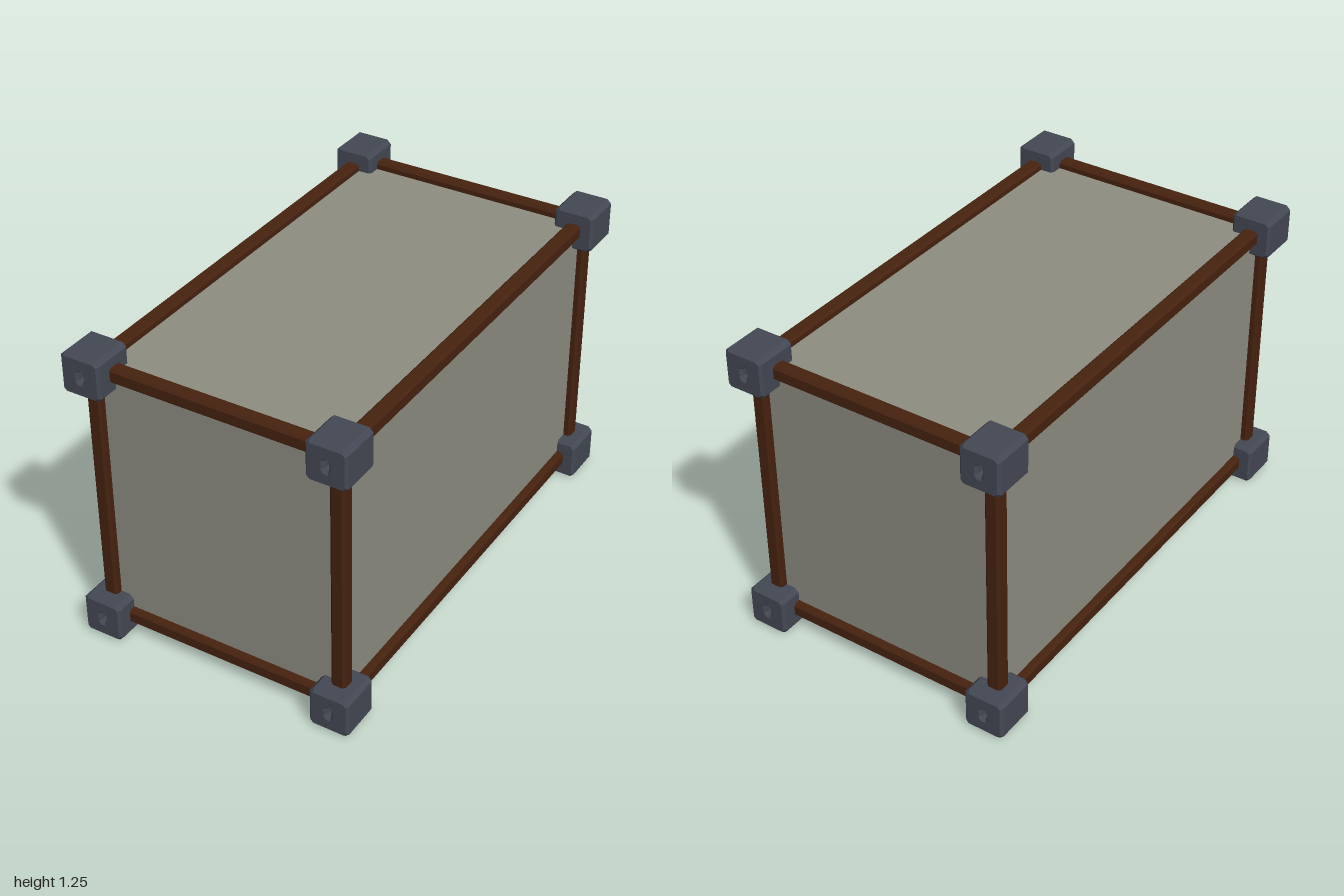
import * as THREE from 'three';

const mat = (name, color) => {
  const m = new THREE.MeshStandardMaterial({ color });
  m.name = name;
  return m;
};

// Square outline with cut corners, half width h and cut c
function cutSquare(h, c) {
  const k = h - c;
  return new THREE.Shape([
    [h, -k], [h, k], [k, h], [-k, h], [-h, k], [-h, -k], [-k, -h], [k, -h],
  ].map(([x, y]) => new THREE.Vector2(x, y)));
}

export function createModel() {
  const model = new THREE.Group();
  model.name = 'framedCrate';
  const panelMat = mat('grey canvas', 0x8e8d82);
  const woodMat = mat('dark wood', 0x46220f);
  const metalMat = mat('blue grey metal', 0x444854);

  const X = 0.502, Y = 0.543, Z = 0.908; // half spans between bar centres
  const MID = 0.626;

  const add = (geometry, material, name, parent = model) => {
    const mesh = new THREE.Mesh(geometry, material);
    mesh.name = name;
    parent.add(mesh);
    return mesh;
  };

  // Closed panel box set on the bar centre lines
  add(new THREE.BoxGeometry(2 * X, 2 * Y, 2 * Z), panelMat, 'panels').position.y = MID;

  // Twelve chamfered edge bars
  const bar = (half) => new THREE.ExtrudeGeometry(cutSquare(0.03, 0.01), { depth: 2 * half, bevelEnabled: false })
    .translate(0, 0, -half);
  const barX = bar(X - 0.06).rotateY(Math.PI / 2);
  const barY = bar(Y - 0.06).rotateX(Math.PI / 2);
  const barZ = bar(Z - 0.06);
  for (const a of [-1, 1]) {
    for (const b of [-1, 1]) {
      add(barX, woodMat, 'crossBar').position.set(0, MID + a * Y, b * Z);
      add(barY, woodMat, 'uprightBar').position.set(a * X, MID, b * Z);
      add(barZ, woodMat, 'longBar').position.set(a * X, MID + b * Y, 0);
    }
  }

  // Corner block: chamfered cube with a long octagonal socket in its outer face
  const bevel = 0.012;
  const outline = cutSquare(0.083, 0.012);
  outline.holes.push(new THREE.Path([
    [0.022, -0.02], [0.022, 0.02], [0.011, 0.037], [-0.011, 0.037],
    [-0.022, 0.02], [-0.022, -0.02], [-0.011, -0.037], [0.011, -0.037],
  ].map(([x, y]) => new THREE.Vector2(x, y))));
  const depth = 0.176;
  const block = new THREE.ExtrudeGeometry(outline, {
    depth: depth - 2 * bevel, bevelEnabled: true, bevelSegments: 1,
    bevelSize: bevel, bevelThickness: bevel, bevelOffset: 0,
  }).translate(0, 0, -depth / 2 + bevel);
  // Bring the bevelled outline back to the cube size
  block.scale(0.083 / 0.095, 0.083 / 0.095, 1);
  // Socket floor, which also closes the inner face
  const floor = new THREE.BoxGeometry(0.09, 0.116, 0.142).translate(0, 0, -0.018);

  for (const x of [-1, 1]) {
    for (const y of [-1, 1]) {
      for (const z of [-1, 1]) {
        const corner = new THREE.Group();
        corner.name = 'cornerBlock';
        add(block, metalMat, 'cornerShell', corner);
        add(floor, metalMat, 'socketFloor', corner);
        corner.position.set(x * 0.5, MID + y * Y, z * 0.912);
        if (z < 0) corner.rotation.y = Math.PI;
        model.add(corner);
      }
    }
  }
  return model;
}
